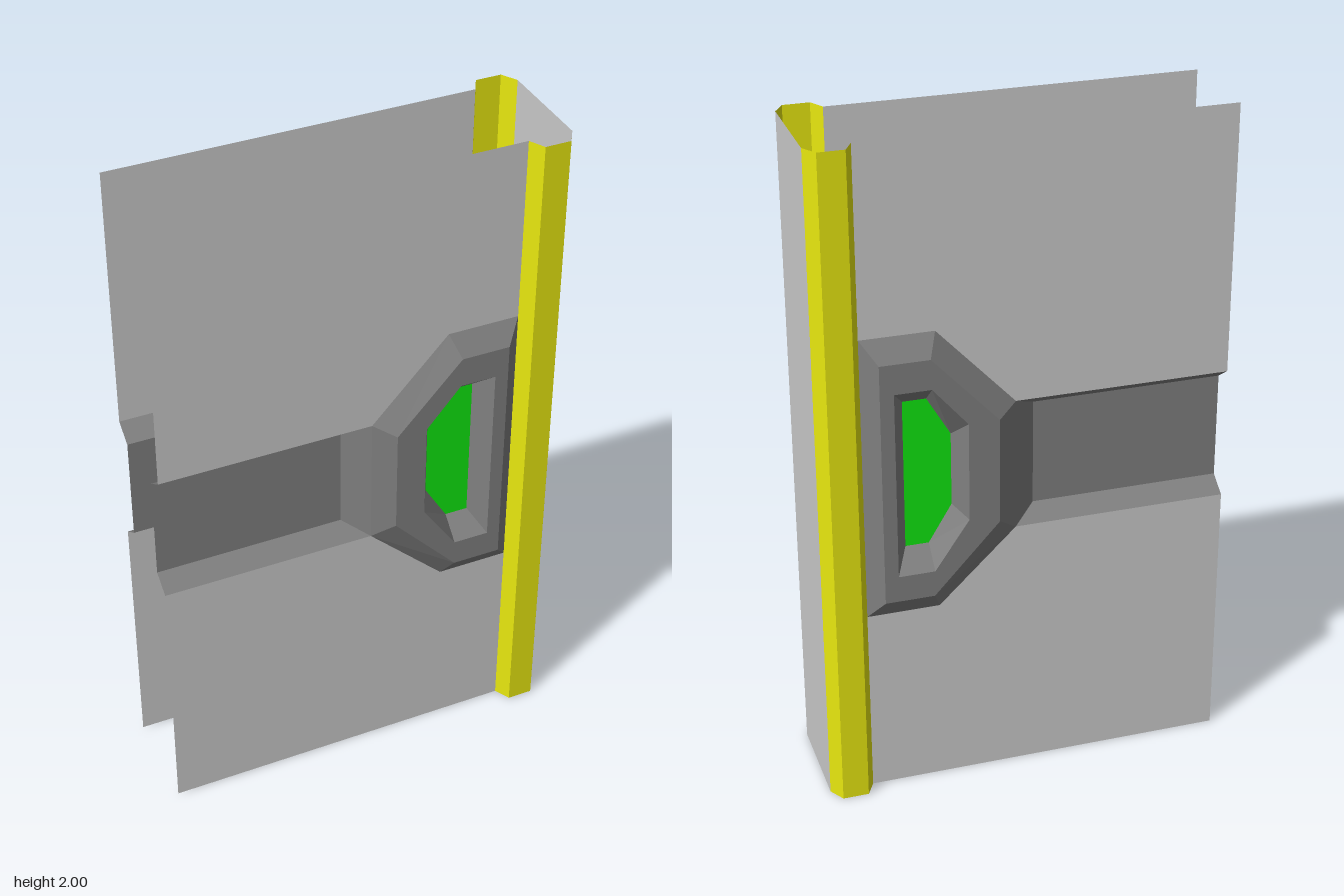
import * as THREE from 'three';

const material = (color) =>
  new THREE.MeshStandardMaterial({ color, flatShading: true, side: THREE.DoubleSide });

// Mesh of flat convex faces (corners counter-clockwise as seen from the front);
// side = -1 mirrors it to the back and turns the corners round.
function facesMesh(name, faces, mat, side = 1) {
  const pos = [];
  for (const f of faces) {
    for (let i = 1; i < f.length - 1; i++) {
      const tri = side > 0 ? [f[0], f[i], f[i + 1]] : [f[0], f[i + 1], f[i]];
      for (const [x, y, z] of tri) pos.push(x, y, z * side);
    }
  }
  const geo = new THREE.BufferGeometry();
  geo.setAttribute('position', new THREE.Float32BufferAttribute(pos, 3));
  geo.computeVertexNormals();
  const mesh = new THREE.Mesh(geo, mat);
  mesh.name = name;
  return mesh;
}

// Six-cornered ring, counter-clockwise from its lower left corner.
const ring = (x0, x1, x2, lowIn, low, highIn, high, z) => [
  [x0, lowIn, z], [x1, low, z], [x2, low, z],
  [x2, high, z], [x1, high, z], [x0, highIn, z],
];

// Quads joining an outer ring to an inner ring.
const band = (outer, inner) => outer.map((p, i) => {
  const j = (i + 1) % outer.length;
  return [p, outer[j], inner[j], inner[i]];
});

const LEFT = -0.605, SEAM = 0.475, EDGE = 0.605;
const FACE = 0.154, FLOOR = 0.095, RAISED = 0.196, RECESS = 0.132;

export function createModel() {
  const root = new THREE.Group();
  root.name = 'door';
  const grey = material(0xcccccc);
  const dark = material(0x808080);
  const yellow = material(0xe8e810);
  const green = material(0x10e810);

  // Outlines of the handle plate, from the panel up and down into the recess
  const base = ring(0.03, 0.26, SEAM, 0.8, 0.58, 1.2, 1.445, FACE);
  const top = ring(0.09, 0.285, 0.43, 0.85, 0.64, 1.17, 1.38, RAISED);
  const lip = ring(0.18, 0.283, 0.39, 0.87, 0.72, 1.17, 1.29, RAISED);
  const well = ring(0.214, 0.283, 0.352, 0.894, 0.78, 1.117, 1.235, RECESS);

  for (const side of [1, -1]) {
    const half = new THREE.Group();
    half.name = side > 0 ? 'frontFace' : 'backFace';
    root.add(half);

    // Panels above and below the channel, cut around the handle plate
    const upper = [base[4], base[3], [SEAM, 2, FACE], [LEFT, 2, FACE], [LEFT, 1.2, FACE], base[5]];
    const lower = [base[1], base[0], [LEFT, 0.8, FACE], [LEFT, 0, FACE], [SEAM, 0, FACE], base[2]];
    half.add(facesMesh('upperPanel', [upper], grey, side));
    half.add(facesMesh('lowerPanel', [lower], grey, side));

    // Sunken channel with sloped walls and a ramp up to the handle plate
    const a = [LEFT, 0.84, FLOOR], b = [-0.04, 0.84, FLOOR];
    const c = [-0.04, 1.16, FLOOR], d = [LEFT, 1.16, FLOOR];
    half.add(facesMesh('channel', [
      [a, b, c, d],
      [d, c, base[5], [LEFT, 1.2, FACE]],
      [[LEFT, 0.8, FACE], base[0], b, a],
      [b, base[0], base[5], c],
    ], dark, side));

    // Raised handle plate, its recess and the green window
    half.add(facesMesh('handlePlate', [...band(base, top), ...band(top, lip)], dark, side));
    half.add(facesMesh('handleRecess', band(lip, well), dark, side));
    half.add(facesMesh('handleWindow', [well], green, side));

    // Bevelled edge strip
    const profile = [[SEAM, FACE], [0.5, 0.2], [0.577, 0.2], [EDGE, FACE]];
    const strip = profile.slice(1).map(([x, z], i) => {
      const [px, pz] = profile[i];
      return [[px, 0, pz], [x, 0, z], [x, 2, z], [px, 2, pz]];
    });
    half.add(facesMesh('edgeStrip', strip, yellow, side));
  }

  // Flat closing edge between the two faces
  root.add(facesMesh('closingEdge', [[
    [EDGE, 0, FACE], [EDGE, 0, -FACE], [EDGE, 2, -FACE], [EDGE, 2, FACE],
  ]], grey));

  return root;
}
